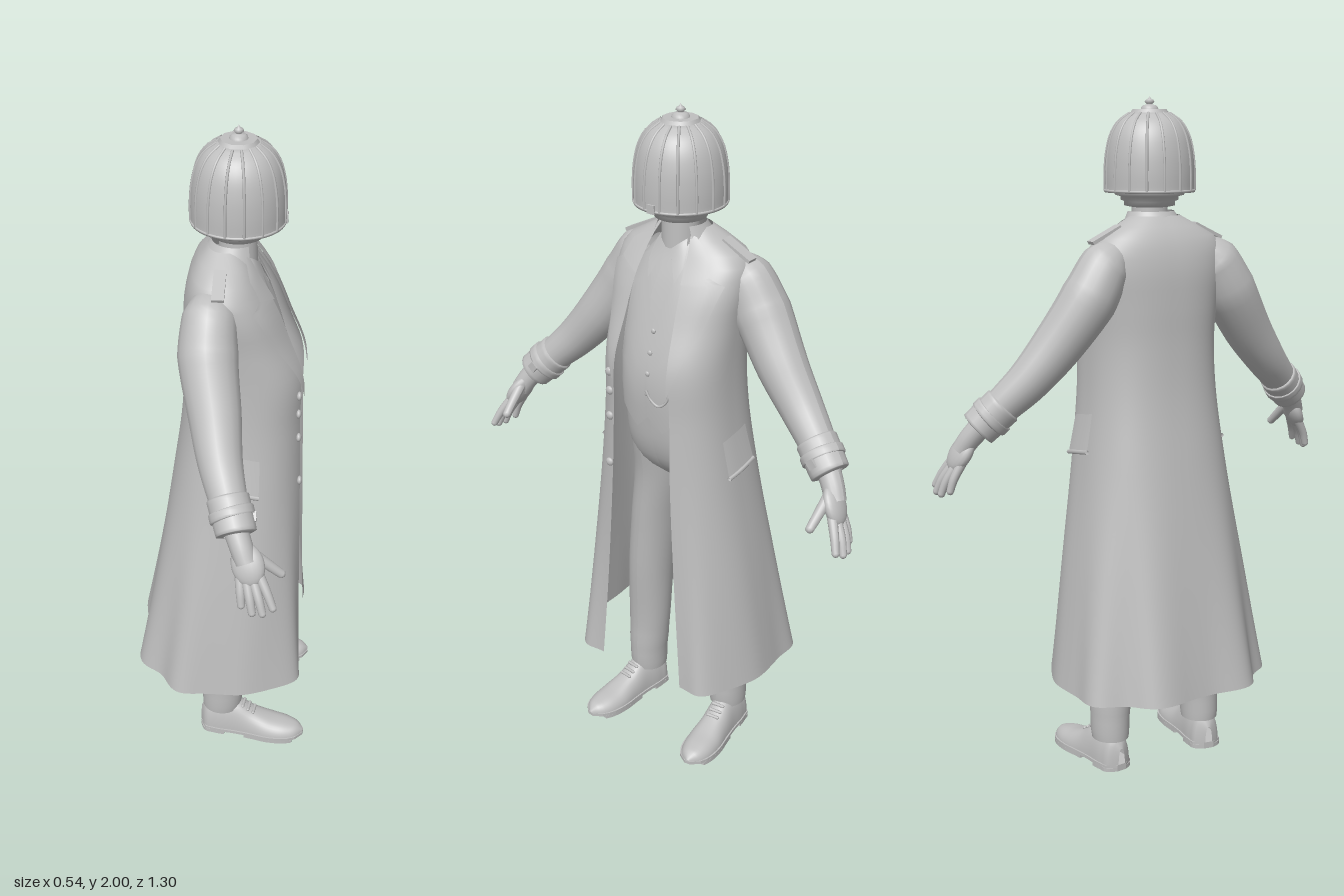
import * as THREE from 'three';

const cloth = new THREE.MeshStandardMaterial({ color: 0xbfbfbf, side: THREE.DoubleSide });
cloth.name = 'plain grey';
const V = (x, y, z) => new THREE.Vector3(x, y, z);
const E = 0.8; // roundness exponent of body sections

// Surface from f(u, v) -> Vector3, with u and v in 0..1
function grid(nu, nv, f) {
  const pos = [], idx = [];
  for (let j = 0; j <= nv; j++) for (let i = 0; i <= nu; i++) pos.push(...f(i / nu, j / nv).toArray());
  for (let j = 0; j < nv; j++) for (let i = 0; i < nu; i++) {
    const a = j * (nu + 1) + i, b = a + nu + 1;
    idx.push(a, a + 1, b, a + 1, b + 1, b);
  }
  const g = new THREE.BufferGeometry();
  g.setAttribute('position', new THREE.Float32BufferAttribute(pos, 3));
  g.setIndex(idx);
  g.computeVertexNormals();
  return g;
}

// Smooth lookup through rows of [key, values...]
function profile(rows) {
  const n = rows[0].length - 1;
  const it = new THREE.CubicInterpolant(rows.map(r => r[0]), rows.flatMap(r => r.slice(1)), n, new Float32Array(n));
  return k => [...it.evaluate(k)];
}
const pw = (a) => Math.sign(a) * Math.abs(a) ** E;

// Height, half width, front z, back z, front opening
const coatAt = profile([
  [0.27, 0.318, 0.25, -0.27, 0.15], [0.6, 0.275, 0.242, -0.212, 0.125], [0.95, 0.225, 0.235, -0.155, 0.105],
  [1.15, 0.203, 0.23, -0.128, 0.1], [1.3, 0.198, 0.225, -0.12, 0.096], [1.42, 0.202, 0.178, -0.12, 0.09],
  [1.53, 0.21, 0.13, -0.115, 0.085], [1.6, 0.19, 0.085, -0.097, 0.08], [1.635, 0.13, 0.065, -0.077, 0.07],
  [1.665, 0.075, 0.05, -0.05, 0.06]]);
const torsoAt = profile([
  [0.88, 0.06, 0.06, -0.04], [0.94, 0.135, 0.125, -0.085], [1.0, 0.15, 0.155, -0.1], [1.1, 0.15, 0.175, -0.1],
  [1.25, 0.15, 0.185, -0.1], [1.4, 0.155, 0.15, -0.1], [1.52, 0.15, 0.11, -0.09], [1.6, 0.09, 0.075, -0.06],
  [1.64, 0.05, 0.06, -0.02]]);

// Front z of a section at x
const frontZ = (at, x, y) => {
  const [w, f, b] = at(y);
  const r = Math.min(0.99, Math.abs(x) / w);
  return (f + b) / 2 + (f - b) / 2 * (1 - r ** (2 / E)) ** (E / 2);
};
// Point of the coat at angle a from the front, with folds toward the hem
function coatPoint(a, y, off = 0) {
  const [w, f, b] = coatAt(y);
  const k = THREE.MathUtils.clamp((1.0 - y) / 0.73, 0, 1) ** 1.5;
  const fromFront = Math.min(Math.abs(a), 2 * Math.PI - a);
  const back = THREE.MathUtils.smoothstep(fromFront, 1.2, 2.2);
  const m = 1 + 0.05 * k * back * Math.cos(8 * a + 2.6);
  const bump = 1 + 0.2 * k * Math.exp(-(((fromFront - 0.75) / 0.25) ** 2));
  return V((w + off) * pw(Math.sin(a)) * m, y, (f + b) / 2 + ((f - b) / 2 + off) * pw(Math.cos(a)) * m * bump);
}
// Strip lying on the front of a body: rows of [x0, y0, x1, y1]
function strip(rows, at, off, s = 1) {
  const n = rows.length - 1;
  return grid(6, n * 4, (u, v) => {
    const i = Math.min(n - 1, Math.floor(v * n)), t = v * n - i;
    const [a, b, c, d] = rows[i].map((q, k) => q + (rows[i + 1][k] - q) * t);
    const x = a + (c - a) * u, y = b + (d - b) * u;
    return V(s * x, y, frontZ(at, x, y) + off);
  });
}
// Round limb through points of [x, y, z, radius]
function limb(pts, s = 1, seg = 24) {
  const c = new THREE.CatmullRomCurve3(pts.map(p => V(p[0] * s, p[1], p[2])));
  return grid(18, seg, (u, v) => {
    const k = Math.min(pts.length - 2, Math.floor(v * (pts.length - 1)));
    const r = THREE.MathUtils.lerp(pts[k][3], pts[k + 1][3], v * (pts.length - 1) - k);
    const t = c.getTangent(v), n = V(0, 0, 1).cross(t).normalize(), b = t.clone().cross(n);
    const a = u * Math.PI * 2;
    return c.getPoint(v).addScaledVector(n, Math.cos(a) * r).addScaledVector(b, Math.sin(a) * r);
  });
}

export function createModel() {
  const root = new THREE.Group();
  const body = new THREE.Group();
  body.name = 'figure';
  body.rotation.y = Math.PI / 2; // the figure faces +x
  root.add(body);
  const add = (name, geo, x = 0, y = 0, z = 0, parent = body) => {
    const m = new THREE.Mesh(geo, cloth);
    m.name = name;
    m.position.set(x, y, z);
    parent.add(m);
    return m;
  };
  const lathe = (pts, n = 48) => new THREE.LatheGeometry(pts.map(p => new THREE.Vector2(...p)), n);
  const button = (name, x, y, z, r) => { add(name, new THREE.SphereGeometry(r, 12, 8), x, y, z).scale.z = 0.6; };

  // Ribbed domed helmet with a finial
  const dome = [[0.13, 1.735], [0.13, 1.79], [0.125, 1.845], [0.112, 1.895], [0.09, 1.93], [0.058, 1.953]];
  const curve = new THREE.CatmullRomCurve3(dome.map(p => V(p[0], p[1], 0)));
  add('helmetDome', lathe([[0.09, 1.73], [0.131, 1.73], ...curve.getPoints(20).map(p => [p.x, p.y]), [0, 1.958]]), 0, 0, 0.03);
  add('helmetRim', new THREE.TorusGeometry(0.129, 0.004, 8, 48), 0, 1.735, 0.03).rotation.x = Math.PI / 2;
  const rib = new THREE.TubeGeometry(curve, 16, 0.004, 6);
  for (let i = 0; i < 16; i++) add('helmetRib', rib, 0, 0, 0.03).rotation.y = (i + 0.5) * Math.PI / 8;
  add('helmetCap', new THREE.CylinderGeometry(0.05, 0.06, 0.016, 10), 0, 1.955, 0.03);
  add('helmetFinial', lathe([[0.026, 1.96], [0.024, 1.968], [0.018, 1.974], [0.009, 1.976],
    [0.009, 1.979], [0.014, 1.983], [0.011, 1.989], [0.004, 1.993], [0, 2]], 24), 0, 0, 0.03);
  add('helmetLatch', new THREE.BoxGeometry(0.025, 0.025, 0.012), 0, 1.742, 0.159);
  add('neckRings', lathe([[0.1, 1.735], [0.1, 1.722], [0.084, 1.718], [0.084, 1.708], [0.074, 1.704],
    [0.074, 1.692], [0.055, 1.688]], 36), 0, 0, 0.03);
  add('neck', new THREE.CylinderGeometry(0.052, 0.056, 0.14, 28), 0, 1.63, 0.03);

  // Torso, waistcoat and necktie
  add('torso', grid(48, 30, (u, v) => {
    const y = 0.88 + 0.76 * v, [w, f, b] = torsoAt(y), a = u * Math.PI * 2;
    return V(w * pw(Math.sin(a)), y, (f + b) / 2 + (f - b) / 2 * pw(Math.cos(a)));
  }));
  for (const s of [-1, 1]) {
    add('waistcoat', strip([[0, 1.13, 0, 1.42], [0.045, 1.085, 0.03, 1.5], [0.1, 1.13, 0.062, 1.59],
      [0.135, 1.14, 0.1, 1.57]], torsoAt, 0.009, s));
    add('shirtCollar', strip([[0.008, 1.61, 0.045, 1.64], [0.03, 1.56, 0.055, 1.61], [0.045, 1.525, 0.06, 1.57]], torsoAt, 0.016, s));
  }
  add('necktie', strip([[-0.015, 1.61, 0.015, 1.61], [-0.019, 1.595, 0.019, 1.595], [-0.01, 1.565, 0.01, 1.565],
    [-0.024, 1.48, 0.024, 1.48], [-0.012, 1.42, 0.012, 1.42]], torsoAt, 0.013));
  for (const y of [1.39, 1.33, 1.27, 1.21]) button('waistcoatButton', 0.005, y, frontZ(torsoAt, 0, y) + 0.011, 0.008);
  const chain = [[0.005, 1.22], [0.02, 1.195], [0.045, 1.18], [0.07, 1.2], [0.075, 1.25]]
    .map(([x, y]) => V(x, y, frontZ(torsoAt, x, y) + 0.014));
  add('watchChain', new THREE.TubeGeometry(new THREE.CatmullRomCurve3(chain), 24, 0.004, 6));

  // Long open coat
  add('coat', grid(120, 48, (u, v) => {
    const y = 0.27 + 1.395 * v, [w, , , o] = coatAt(y);
    const a = Math.asin(Math.min(0.98, o / w) ** (1 / E));
    return coatPoint(a + u * (2 * Math.PI - 2 * a), y);
  }));
  add('coatCollar', grid(40, 5, (u, v) => {
    const a = 0.9 + u * (2 * Math.PI - 1.8), r = 0.108 - 0.04 * v, front = Math.max(0, Math.cos(a));
    return V(r * Math.sin(a), 1.605 + 0.072 * v - 0.03 * front * (1 - v), 0.01 + 0.012 * v + r * 0.95 * Math.cos(a));
  }));
  for (const s of [-1, 1]) {
    add('lapel', strip([[0.096, 1.24, 0.1, 1.24], [0.094, 1.32, 0.132, 1.34], [0.086, 1.42, 0.165, 1.44],
      [0.08, 1.53, 0.188, 1.54], [0.078, 1.555, 0.13, 1.57]], coatAt, 0.009, s));
    add('collarLeaf', strip([[0.078, 1.535, 0.15, 1.562], [0.07, 1.6, 0.132, 1.61], [0.058, 1.655, 0.075, 1.65]], coatAt, 0.013, s));
    const tab = add('shoulderTab', new THREE.BoxGeometry(0.1, 0.01, 0.034), s * 0.17, 1.616, -0.008);
    tab.rotation.z = -s * 0.45;
    // Pocket flaps at the sides
    const flap = (u, v) => coatPoint(s * (1.32 + 0.42 * u), 0.97 + 0.11 * v + 0.02 * u, 0.016 * (1 - v * 0.7));
    add('pocketFlap', grid(8, 4, flap));
    add('pocketEdge', new THREE.TubeGeometry(new THREE.CatmullRomCurve3([0, 0.5, 1].map(u => flap(u, 0))), 8, 0.007, 6));
  }
  for (const y of [1.25, 1.19, 1.11, 0.96]) button('coatButton', -0.118, y, frontZ(coatAt, 0.118, y) + 0.004, 0.013);

  for (const s of [-1, 1]) {
    // Sleeve, cuff strap and buckle
    add('sleeve', limb([[0.13, 1.57, -0.03, 0.04], [0.18, 1.53, -0.032, 0.074], [0.235, 1.44, -0.032, 0.083],
      [0.325, 1.31, -0.006, 0.073], [0.405, 1.215, 0.015, 0.062], [0.475, 1.145, 0.042, 0.053], [0.535, 1.08, 0.07, 0.048]], s, 36));
    add('cuff', limb([[0.47, 1.15, 0.04, 0.05], [0.475, 1.145, 0.042, 0.059], [0.507, 1.113, 0.056, 0.058],
      [0.54, 1.08, 0.07, 0.056], [0.543, 1.077, 0.071, 0.035]], s, 16));
    add('cuffStrap', limb([[0.495, 1.125, 0.051, 0.054], [0.497, 1.123, 0.052, 0.063], [0.512, 1.107, 0.058, 0.063],
      [0.514, 1.105, 0.059, 0.054]], s, 9));
    add('cuffBuckle', new THREE.BoxGeometry(0.026, 0.026, 0.012), s * 0.507, 1.115, 0.115).rotation.z = s * -0.85;

    // Hand with spread fingers
    const hand = new THREE.Group();
    hand.name = 'hand';
    body.add(hand);
    add('wrist', limb([[0.53, 1.09, 0.066, 0.034], [0.56, 1.05, 0.085, 0.032], [0.58, 1.015, 0.1, 0.03]], s, 8), 0, 0, 0, hand);
    const palm = add('palm', new THREE.SphereGeometry(1, 20, 14), s * 0.58, 1.008, 0.104, hand);
    palm.scale.set(0.025, 0.06, 0.046);
    palm.rotation.z = s * 0.5;
    palm.rotation.x = -0.3;
    const fingers = [
      [[0.59, 0.99, 0.133], [0.616, 0.945, 0.158], [0.632, 0.907, 0.175]],
      [[0.594, 0.98, 0.117], [0.625, 0.932, 0.136], [0.64, 0.893, 0.148]],
      [[0.594, 0.978, 0.1], [0.623, 0.93, 0.112], [0.637, 0.891, 0.12]],
      [[0.587, 0.982, 0.083], [0.611, 0.938, 0.087], [0.622, 0.903, 0.09]],
      [[0.565, 1.035, 0.115], [0.562, 1.0, 0.155], [0.558, 0.967, 0.192]]];
    fingers.forEach((f, i) => {
      const r = i === 4 ? 0.0145 : 0.0125;
      const [x, y, z] = f[2];
      add(i === 4 ? 'thumb' : 'finger', limb(f.map((p, k) => [...p, r * (1.15 - 0.15 * k)]), s, 8), 0, 0, 0, hand);
      add('fingertip', new THREE.SphereGeometry(r * 0.86, 10, 8), s * x, y, z, hand);
    });

    // Trouser leg
    const legAt = profile([[0.09, 0.16, -0.002, 0.055, 0.06], [0.13, 0.16, 0, 0.058, 0.063], [0.28, 0.152, 0.002, 0.066, 0.065],
      [0.5, 0.135, 0.01, 0.069, 0.077], [0.7, 0.11, 0.012, 0.073, 0.088], [0.88, 0.08, 0.015, 0.08, 0.1], [1.0, 0.072, 0.025, 0.08, 0.115]]);
    add('trouserLeg', grid(28, 32, (u, v) => {
      const y = 0.09 + 0.91 * v, [cx, cz, rx, rz] = legAt(y), a = u * Math.PI * 2;
      const m = 1 + 0.03 * Math.sin(y * 70) * Math.max(0, 1 - y / 0.3);
      return V(s * (cx + rx * m * Math.sin(a)), y, cz + rz * m * Math.cos(a));
    }));

    // Shoe with sole, heel and laces
    const shoe = new THREE.Group();
    shoe.name = 'shoe';
    shoe.position.set(s * 0.165, 0, 0);
    shoe.rotation.y = s * 0.12;
    body.add(shoe);
    const shoeAt = profile([[-0.068, 0.012, 0.07], [-0.055, 0.036, 0.1], [-0.02, 0.046, 0.118], [0.05, 0.047, 0.115],
      [0.1, 0.05, 0.085], [0.16, 0.055, 0.062], [0.22, 0.046, 0.05], [0.25, 0.028, 0.04], [0.265, 0.006, 0.025]]);
    add('shoeUpper', grid(20, 36, (u, v) => {
      const z = -0.068 + 0.333 * v, [w, h] = shoeAt(z), a = u * Math.PI;
      return V(w * pw(Math.cos(a)), 0.012 + (h - 0.012) * Math.sin(a), z);
    }), 0, 0, 0, shoe);
    const slab = (name, z0, z1, h, y) => {
      const p = [];
      for (const d of [1, -1]) for (let i = 0; i <= 16; i++) {
        const z = THREE.MathUtils.lerp(z0, z1, d > 0 ? i / 16 : 1 - i / 16);
        p.push(new THREE.Vector2(d * (shoeAt(z)[0] + 0.004), -z));
      }
      const geo = new THREE.ExtrudeGeometry(new THREE.Shape(p), { depth: h, bevelEnabled: false });
      add(name, geo, 0, y, 0, shoe).rotation.x = -Math.PI / 2;
    };
    slab('shoeSole', -0.068, 0.265, 0.01, 0.01);
    slab('shoeHeel', -0.068, 0.015, 0.012, 0);
    slab('soleTread', 0.08, 0.235, 0.011, 0);
    for (let i = 0; i < 3; i++) {
      const z = 0.07 + i * 0.017;
      add('shoeLace', new THREE.CapsuleGeometry(0.005, 0.035, 4, 8), 0, shoeAt(z)[1], z, shoe).rotation.z = Math.PI / 2;
    }
  }
  return root;
}
